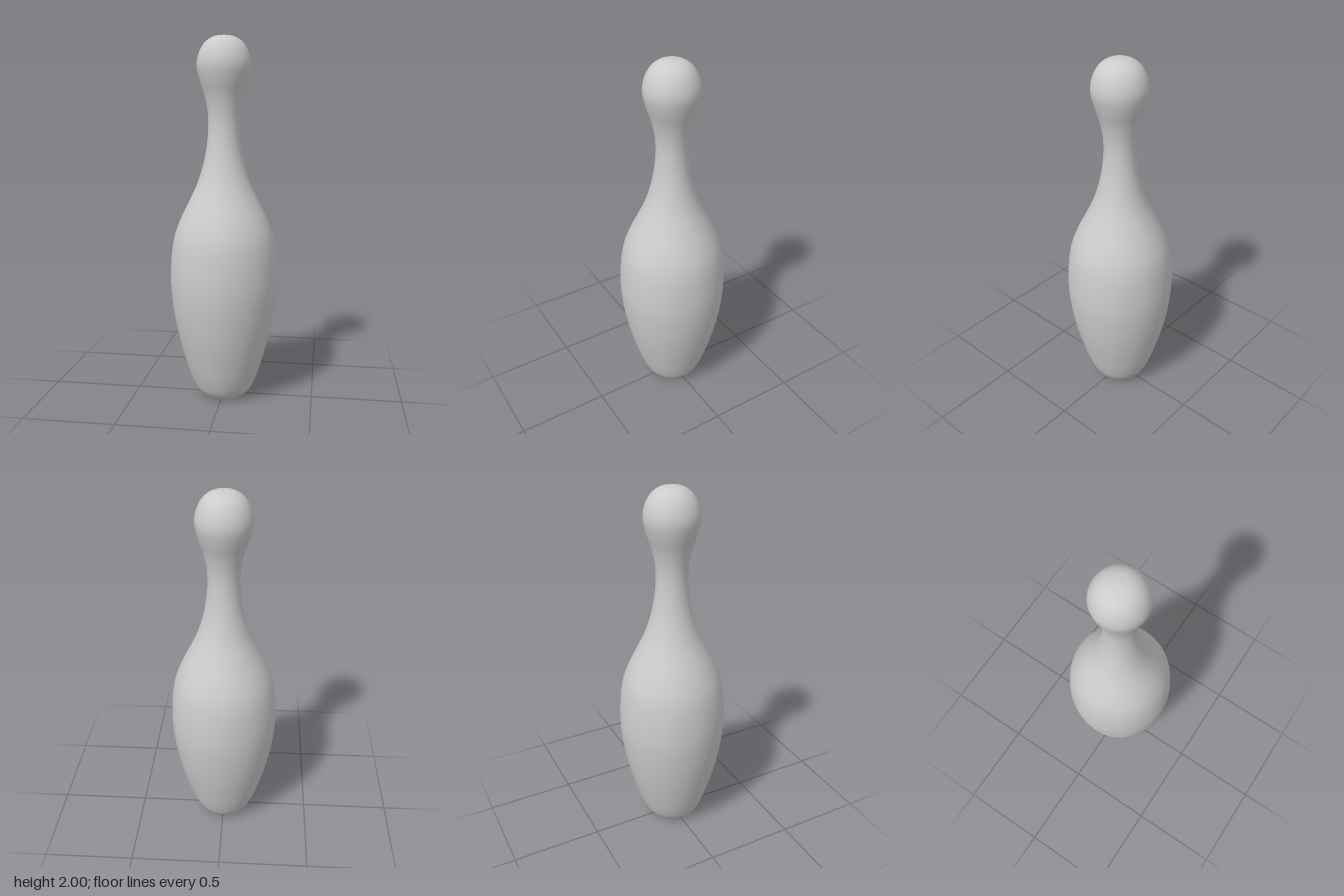
import * as THREE from 'three';

// Silhouette from the base rim to the crown: [radius, height]
const PROFILE = [
  [0.11, 0], [0.15, 0.035], [0.182, 0.1], [0.215, 0.2], [0.255, 0.35], [0.283, 0.5],
  [0.297, 0.65], [0.292, 0.8], [0.273, 0.92], [0.236, 1.02], [0.192, 1.11],
  [0.15, 1.2], [0.117, 1.3], [0.096, 1.4], [0.086, 1.5], [0.088, 1.59],
  [0.105, 1.68], [0.131, 1.76], [0.147, 1.835], [0.137, 1.9],
  [0.107, 1.956], [0.06, 1.99], [0, 2],
];

export function createModel() {
  const group = new THREE.Group();
  group.name = 'bowlingPin';
  const material = new THREE.MeshStandardMaterial({ color: 0xcccccc });

  // Smooth turned body: belly, neck and head in one sweep
  const curve = new THREE.SplineCurve(PROFILE.map(([r, y]) => new THREE.Vector2(r, y)));
  const points = curve.getPoints(110);
  points.forEach((p) => { p.x = Math.max(p.x, 0); p.y = THREE.MathUtils.clamp(p.y, 0, 2); });
  const body = new THREE.Mesh(new THREE.LatheGeometry(points, 96), material);
  body.name = 'pinBody';
  group.add(body);

  // Flat foot closing the underside
  const foot = new THREE.Mesh(new THREE.CircleGeometry(PROFILE[0][0], 96), material);
  foot.name = 'flatFoot';
  foot.rotation.x = Math.PI / 2;
  group.add(foot);

  return group;
}
